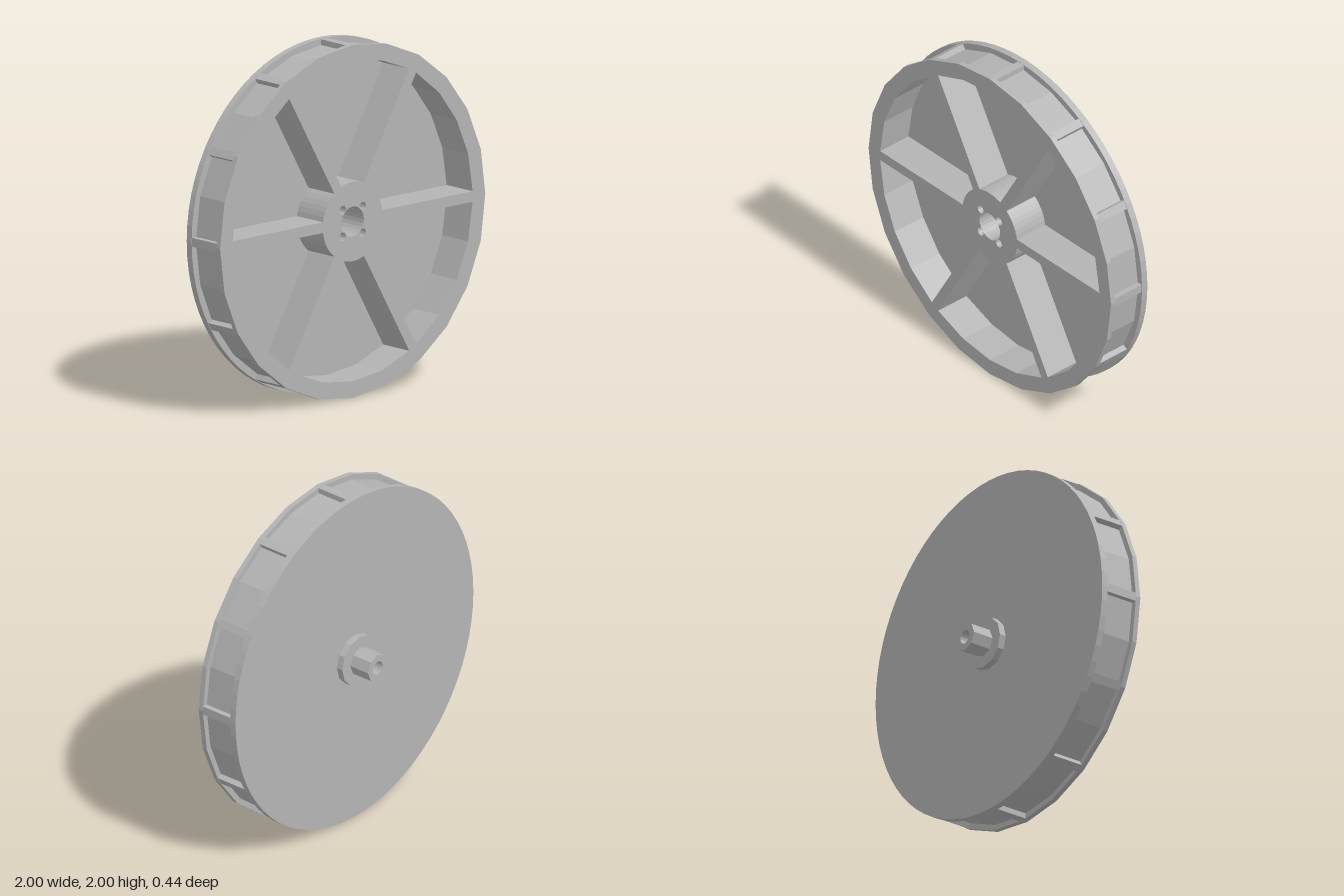
import * as THREE from 'three';

const TAU = Math.PI * 2;
const SPOKES = 6, RIBS = 12, SIDES = 24;

// Points on an arc, end points included
function arc(radius, from, to, steps) {
  return Array.from({ length: steps + 1 }, (_, i) => {
    const a = from + (to - from) * i / steps;
    return new THREE.Vector2(radius * Math.cos(a), radius * Math.sin(a));
  });
}

function disc(radius, sides) {
  return new THREE.Shape(arc(radius, 0, TAU, sides).slice(0, -1));
}

function hole(x, y, radius, sides) {
  return new THREE.Path(arc(radius, 0, TAU, sides).slice(0, -1)
    .map(p => new THREE.Vector2(p.x + x, p.y + y)));
}

// Spoked outline: wedge pockets, centre bore and four screw holes
function spokedShape(outer) {
  const shape = disc(outer, SIDES);
  const half = 0.03, rimR = 0.905, hubR = 0.225;
  const a = Math.asin(half / rimR), b = Math.asin(half / hubR);
  const step = TAU / SPOKES;
  for (let i = 0; i < SPOKES; i++) {
    const s = i * step, e = s + step;
    shape.holes.push(new THREE.Path([
      ...arc(rimR, s + a, e - a, 4),
      ...arc(hubR, e - b, s + b, 6),
    ]));
  }
  shape.holes.push(hole(0, 0, 0.085, 24));
  for (const x of [-0.075, 0.075])
    for (const y of [-0.075, 0.075]) shape.holes.push(hole(x, y, 0.025, 12));
  return shape;
}

export function createModel() {
  const model = new THREE.Group();
  model.name = 'wheel';
  const grey = new THREE.MeshStandardMaterial({ color: 0xb4b4b4 });
  grey.name = 'grey plastic';

  const wheel = new THREE.Group();
  wheel.name = 'wheelBody';
  wheel.position.y = 1;
  model.add(wheel);

  function slab(name, shape, z0, z1) {
    const g = new THREE.ExtrudeGeometry(shape, { depth: z1 - z0, bevelEnabled: false });
    const m = new THREE.Mesh(g, grey);
    m.name = name;
    m.position.z = z0;
    wheel.add(m);
  }

  function bored(shape) {
    shape.holes.push(hole(0, 0, 0.04, 16));
    return shape;
  }

  // Closed back and pocket floor
  slab('backPlate', bored(disc(1, 72)), -0.05, -0.01);
  slab('pocketFloor', bored(disc(0.968, SIDES)), -0.01, 0.01);

  // Rim, spokes and hub, then the wider front flange
  slab('spokedCore', spokedShape(0.968), 0.01, 0.19);
  slab('frontFlange', spokedShape(1), 0.19, 0.22);

  // Cross ribs around the tread
  for (let i = 0; i < RIBS; i++) {
    const a = i * TAU / RIBS;
    const rib = new THREE.Mesh(new THREE.BoxGeometry(0.056, 0.05, 0.2), grey);
    rib.name = 'treadRib';
    rib.position.set(0.97 * Math.cos(a), 0.97 * Math.sin(a), 0.09);
    rib.rotation.z = a;
    rib.scale.set(0.95, 1, 1);
    wheel.add(rib);
  }

  // Rear collar and hollow axle stub
  slab('axleCollar', bored(disc(0.148, 12)), -0.09, -0.05);
  slab('axleStub', bored(disc(0.082, 8)), -0.22, -0.09);

  return model;
}
